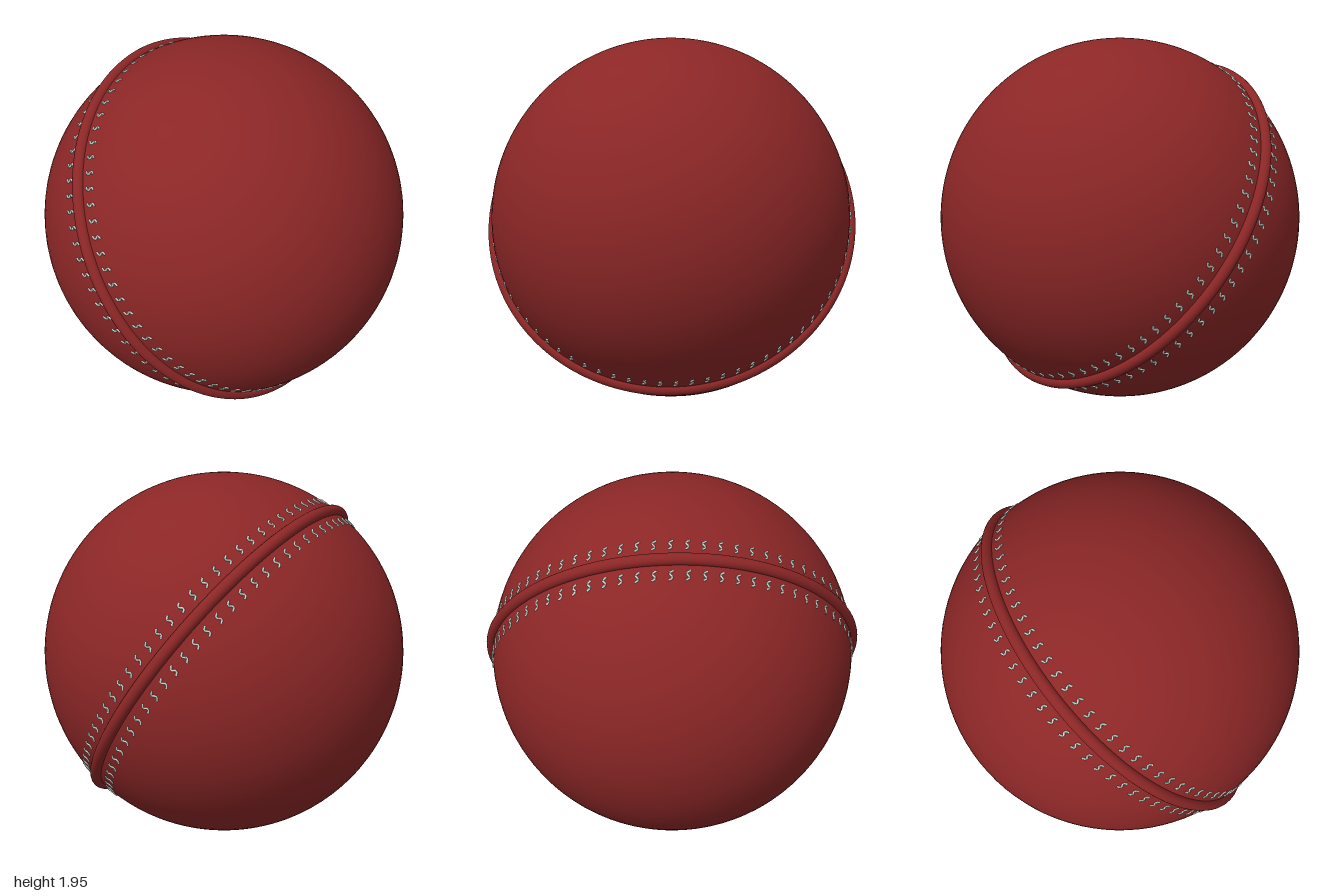
import * as THREE from 'three';
import { mergeGeometries } from 'three/addons/utils/BufferGeometryUtils.js';

const R = 0.973; // ball radius
const STITCHES = 76;

// Point just above the ball: angle runs along the seam, lat across it
function onBall(angle, lat, radius) {
  return new THREE.Vector3(
    Math.cos(angle) * Math.cos(lat),
    Math.sin(angle) * Math.cos(lat),
    Math.sin(lat)
  ).multiplyScalar(radius);
}

// One S-shaped thread lying across the seam direction
function stitch(angle, lat) {
  const shape = [[-0.013, -0.026], [0.007, -0.012], [-0.007, 0.012], [0.013, 0.026]];
  const points = shape.map(([u, v]) => onBall(angle + u, lat + v, R + 0.001));
  return new THREE.TubeGeometry(new THREE.CatmullRomCurve3(points), 8, 0.0055, 6);
}

export function createModel() {
  const leather = new THREE.MeshStandardMaterial({ color: 0x8b2626 });
  leather.name = 'red leather';
  const thread = new THREE.MeshStandardMaterial({ color: 0xc9d8cd });
  thread.name = 'pale thread';

  const model = new THREE.Group();
  model.name = 'stitchedBall';

  // Ball
  const ball = new THREE.Mesh(new THREE.SphereGeometry(R, 96, 64), leather);
  ball.name = 'ball';
  ball.position.y = R;
  model.add(ball);

  // Tilted seam band
  const band = new THREE.Group();
  band.name = 'seamBand';
  band.position.y = R;
  band.quaternion.setFromUnitVectors(
    new THREE.Vector3(0, 0, 1),
    new THREE.Vector3(0.817, 0.559, -0.122).normalize()
  );
  model.add(band);

  const seam = new THREE.Mesh(new THREE.TorusGeometry(0.976, 0.031, 20, 160), leather);
  seam.name = 'raisedSeam';
  band.add(seam);

  // A row of stitches on each side of the seam
  for (const side of [-1, 1]) {
    const parts = [];
    for (let i = 0; i < STITCHES; i++) {
      parts.push(stitch((i / STITCHES) * Math.PI * 2, side * 0.086));
    }
    const row = new THREE.Mesh(mergeGeometries(parts), thread);
    row.name = side > 0 ? 'leftStitchRow' : 'rightStitchRow';
    band.add(row);
  }
  return model;
}
